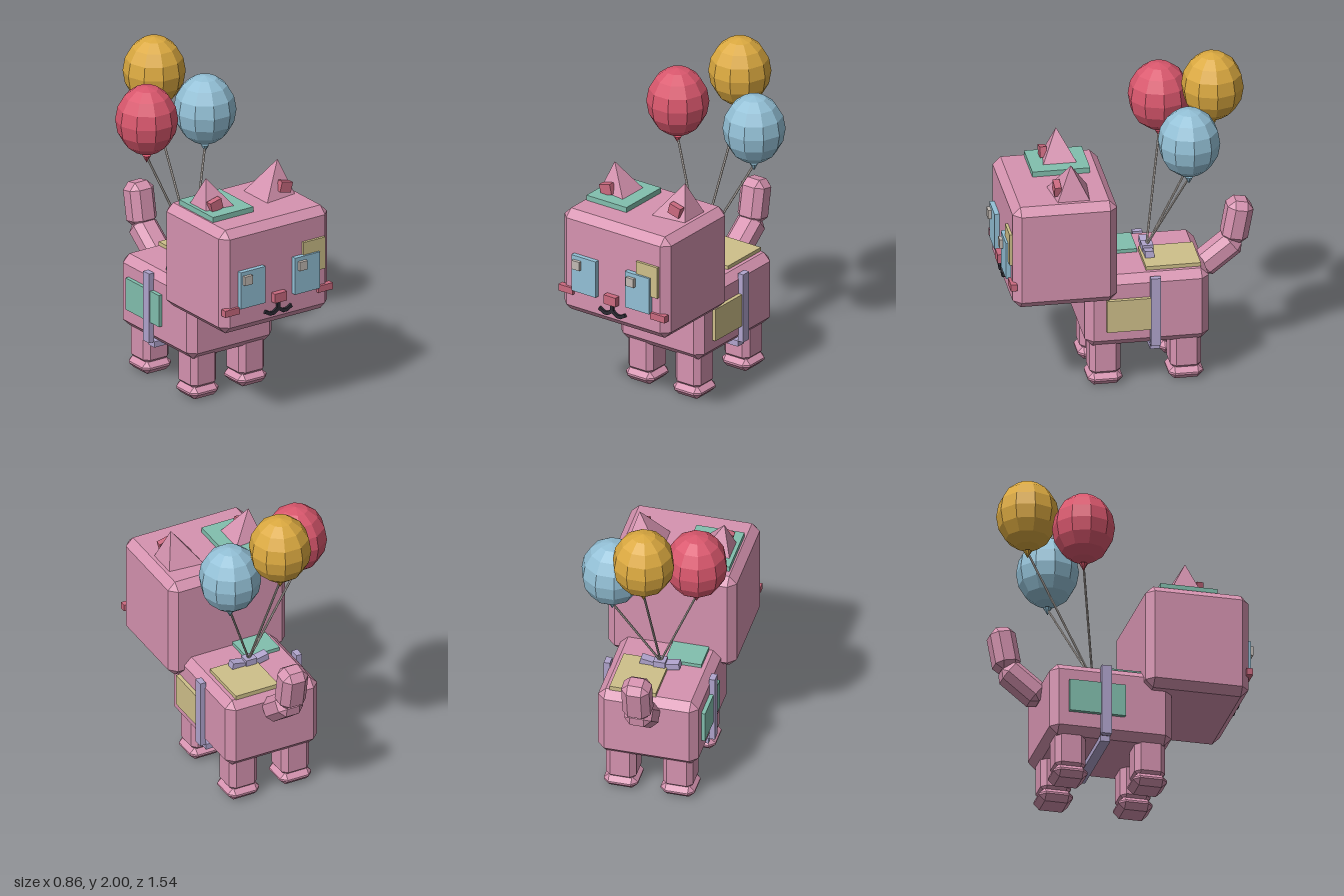
import * as THREE from 'three';
import { ConvexGeometry } from 'three/addons/geometries/ConvexGeometry.js';

const mat = (name, color) => {
  const m = new THREE.MeshStandardMaterial({ color, flatShading: true });
  m.name = name;
  return m;
};

// Box with flat chamfers on every edge and corner
function chamferBox(w, h, d, c) {
  const pts = [];
  for (const x of [-1, 1]) for (const y of [-1, 1]) for (const z of [-1, 1]) {
    const X = w / 2, Y = h / 2, Z = d / 2;
    pts.push(
      new THREE.Vector3(x * X, y * (Y - c), z * (Z - c)),
      new THREE.Vector3(x * (X - c), y * Y, z * (Z - c)),
      new THREE.Vector3(x * (X - c), y * (Y - c), z * Z));
  }
  return new ConvexGeometry(pts);
}

export function createModel() {
  const pink = mat('pink', 0xd693b0), teal = mat('teal', 0x82bfae), sand = mat('sand', 0xcfc08a);
  const blue = mat('blue', 0x93c0d6), grey = mat('grey', 0xc2bab4), rose = mat('rose', 0xcb6a80);
  const red = mat('red', 0xd9576d), gold = mat('gold', 0xdba940), lilac = mat('lilac', 0xb1a5ce);
  const black = mat('black', 0x2a2932);

  const root = new THREE.Group();
  const cat = new THREE.Group();
  cat.name = 'cat';
  cat.position.x = 0.004;
  root.add(cat);

  const add = (name, geo, material, x = 0, y = 0, z = 0) => {
    const m = new THREE.Mesh(geo, material);
    m.name = name;
    m.position.set(x, y, z);
    cat.add(m);
    return m;
  };
  // Box given by its limits on each axis
  const slab = (name, material, x0, x1, y0, y1, z0, z1) =>
    add(name, new THREE.BoxGeometry(x1 - x0, y1 - y0, z1 - z0), material,
      (x0 + x1) / 2, (y0 + y1) / 2, (z0 + z1) / 2);
  // Thin rod between two points
  const rod = (name, material, a, b, r) => {
    const dir = b.clone().sub(a), mid = a.clone().add(b).multiplyScalar(0.5);
    const m = add(name, new THREE.CylinderGeometry(r, r, dir.length(), 6), material, mid.x, mid.y, mid.z);
    m.quaternion.setFromUnitVectors(new THREE.Vector3(0, 1, 0), dir.normalize());
    return m;
  };

  // Head and body
  add('head', chamferBox(0.78, 0.655, 0.625, 0.047), pink, 0, 0.923, 0.408);
  add('body', chamferBox(0.612, 0.455, 0.741, 0.047), pink, 0, 0.4925, -0.0955);

  // Legs and feet
  for (const s of [-1, 1]) for (const z of [0.15, -0.333]) {
    add('leg', chamferBox(0.185, 0.28, 0.185, 0.032), pink, s * 0.173, 0.2, z);
    add('foot', chamferBox(0.207, 0.082, 0.207, 0.035), pink, s * 0.173, 0.041, z);
  }

  // Tail in two segments
  add('tailBase', chamferBox(0.165, 0.29, 0.15, 0.04), pink, 0, 0.69, -0.565).rotation.x = -0.9;
  add('tailTip', chamferBox(0.17, 0.27, 0.155, 0.042), pink, 0, 0.893, -0.678).rotation.x = -0.18;

  // Ears: skewed pyramids with a tilted inner block
  for (const s of [-1, 1]) {
    const base = [[0.094, 0.23], [0.324, 0.25], [0.324, 0.45], [0.094, 0.48]];
    const pts = base.map(([x, z]) => new THREE.Vector3(s * x, 1.24, z));
    pts.push(new THREE.Vector3(s * 0.258, 1.457, 0.357));
    add('ear', new ConvexGeometry(pts), pink);
    add('innerEar', new THREE.BoxGeometry(0.08, 0.065, 0.04), rose, s * 0.251, 1.313, 0.44)
      .rotation.z = -s * 0.25;
  }

  // Face
  for (const s of [-1, 1]) {
    add('eye', new THREE.BoxGeometry(0.178, 0.232, 0.04), blue, s * 0.196, 0.875, 0.73);
    add('cheek', new THREE.BoxGeometry(0.105, 0.042, 0.038), rose, s * 0.336, 0.746, 0.719);
    add('eyeShine', new THREE.BoxGeometry(0.055, 0.056, 0.03), grey, s * 0.198 - 0.042, 0.938, 0.755);
  }
  slab('nose', rose, -0.044, 0.044, 0.742, 0.8, 0.71, 0.758);

  // Mouth strokes
  const stroke = (x0, y0, x1, y1) => {
    const len = Math.hypot(x1 - x0, y1 - y0) + 0.008;
    add('mouth', new THREE.BoxGeometry(len, 0.022, 0.03), black, (x0 + x1) / 2, (y0 + y1) / 2, 0.72)
      .rotation.z = Math.atan2(y1 - y0, x1 - x0);
  };
  stroke(0, 0.75, 0, 0.69);
  for (const s of [-1, 1]) {
    stroke(0, 0.695, s * 0.035, 0.672);
    stroke(s * 0.04, 0.672, s * 0.06, 0.672);
    stroke(s * 0.06, 0.672, s * 0.092, 0.69);
  }

  // Patches
  slab('headPatch', teal, -0.333, -0.041, 1.24, 1.283, 0.19, 0.535);
  slab('facePatch', sand, 0.178, 0.334, 0.87, 1.07, 0.7, 0.737);
  slab('backPatchFront', teal, -0.234, -0.014, 0.7, 0.742, -0.085, 0.15);
  slab('backPatchRear', sand, -0.046, 0.236, 0.7, 0.743, -0.423, -0.095);
  slab('leftPatch', sand, 0.29, 0.33, 0.375, 0.58, -0.115, 0.153);
  slab('rightPatch', teal, -0.33, -0.29, 0.4, 0.6, -0.36, -0.02);

  // Harness strap and bow
  slab('strapBottom', lilac, -0.3, 0.3, 0.233, 0.27, -0.168, -0.108);
  for (const s of [-1, 1]) {
    add('strapSide', new THREE.BoxGeometry(0.037, 0.44, 0.06), lilac, s * 0.32, 0.49, -0.138);
    add('bowLoop', new THREE.BoxGeometry(0.1, 0.04, 0.054), lilac, s * 0.07, 0.752, -0.138)
      .rotation.z = s * 0.2;
  }
  slab('bowKnot', lilac, -0.036, 0.036, 0.71, 0.782, -0.175, -0.108);

  // Balloons with knots and strings
  const tie = new THREE.Vector3(0, 0.765, -0.138);
  for (const [m, x, y, z] of [
    [gold, 0, 1.785, -0.533], [red, -0.25, 1.622, -0.257], [blue, 0.238, 1.543, -0.352]]) {
    add('balloon', new THREE.SphereGeometry(0.186, 10, 8), m, x, y, z).scale.y = 1.15;
    add('balloonKnot', new THREE.ConeGeometry(0.026, 0.046, 8), m, x, y - 0.25, z).rotation.x = Math.PI;
    rod('string', grey, tie, new THREE.Vector3(x, y - 0.235, z), 0.007);
  }
  return root;
}
